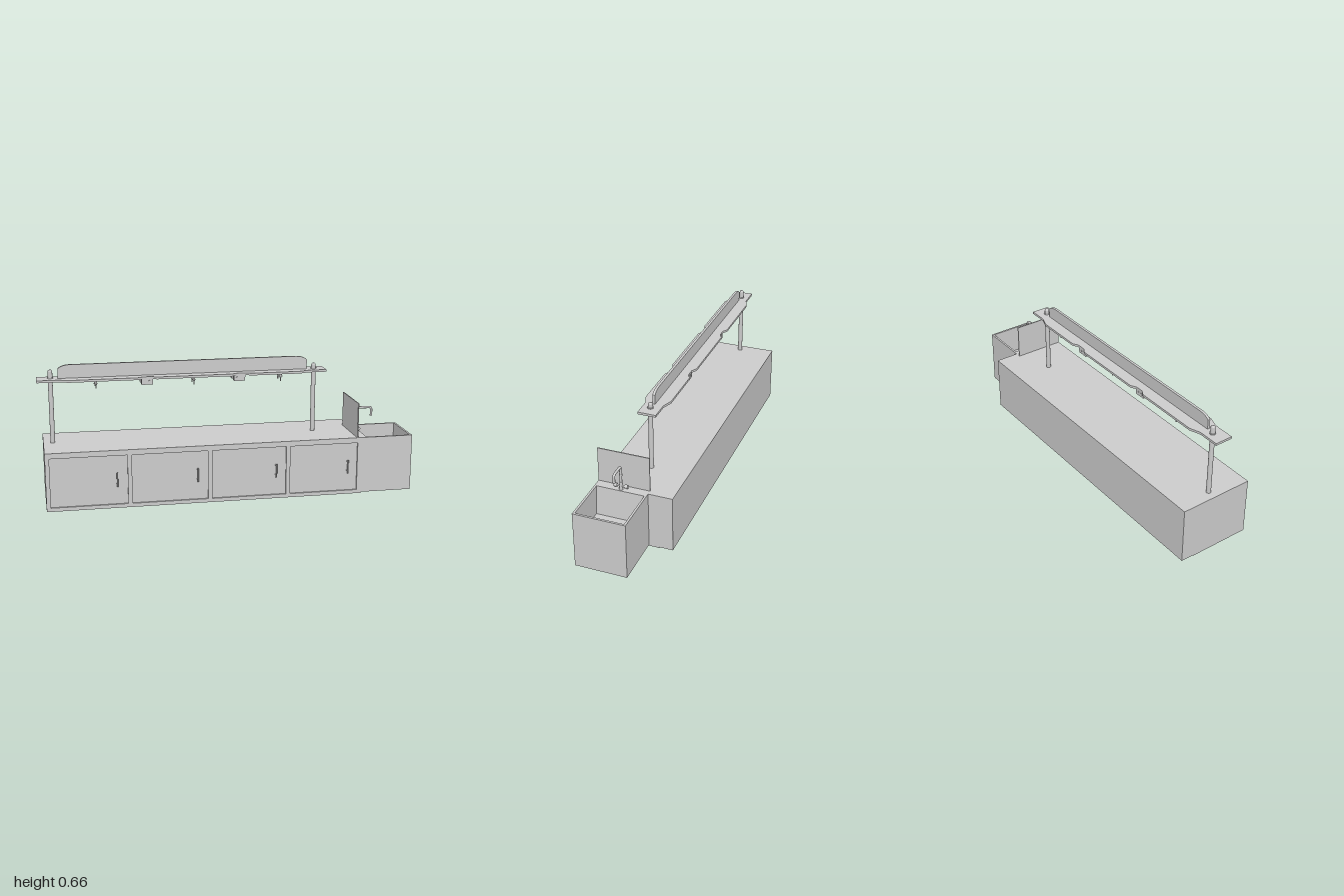
import * as THREE from 'three';

const grey = new THREE.MeshStandardMaterial({ color: 0xcccccc, side: THREE.DoubleSide });

function add(parent, name, geometry, x = 0, y = 0, z = 0) {
  const mesh = new THREE.Mesh(geometry, grey);
  mesh.name = name;
  mesh.position.set(x, y, z);
  parent.add(mesh);
  return mesh;
}

// Box given by its minimum and maximum corners
function box(parent, name, [x0, y0, z0], [x1, y1, z1]) {
  return add(parent, name, new THREE.BoxGeometry(x1 - x0, y1 - y0, z1 - z0),
    (x0 + x1) / 2, (y0 + y1) / 2, (z0 + z1) / 2);
}

function rod(parent, name, r, h, x, y, z, rTop = r) {
  return add(parent, name, new THREE.CylinderGeometry(rTop, r, h, 20), x, y + h / 2, z);
}

function polygon(points) {
  return new THREE.Shape(points.map(([x, y]) => new THREE.Vector2(x, y)));
}

function extrude(shape, depth) {
  return new THREE.ExtrudeGeometry(shape, { depth, bevelEnabled: false, curveSegments: 10 });
}

function makeCabinet() {
  const g = new THREE.Group();
  g.name = 'cabinet';
  box(g, 'cabinetBody', [-0.98, 0.004, -0.188], [0.54, 0.281, 0.167]);
  box(g, 'basePlate', [-0.98, 0, -0.122], [0.54, 0.004, 0.175]);

  // Front frame with four shallow door recesses
  const frame = polygon([[-0.98, 0.004], [0.54, 0.004], [0.54, 0.281], [-0.98, 0.281]]);
  for (const [a, b] of [[-0.96, -0.6], [-0.58, -0.22], [-0.2, 0.16], [0.18, 0.515]]) {
    frame.holes.push(polygon([[a, 0.018], [a, 0.255], [b, 0.255], [b, 0.018]]));
    // Door handle: upright bar on two standoffs
    const x = b - 0.05;
    const handle = new THREE.Group();
    handle.name = 'doorHandle';
    rod(handle, 'handleBar', 0.0035, 0.067, x, 0.108, 0.186);
    for (const y of [0.118, 0.165]) {
      const post = add(handle, 'handleStandoff', new THREE.CylinderGeometry(0.003, 0.003, 0.02, 12), x, y, 0.176);
      post.rotation.x = Math.PI / 2;
    }
    g.add(handle);
  }
  add(g, 'doorFrame', extrude(frame, 0.008), 0, 0, 0.167);
  box(g, 'splashPanel', [0.511, 0.281, -0.073], [0.516, 0.451, 0.175]);
  return g;
}

function makeSink() {
  const g = new THREE.Group();
  g.name = 'sink';
  // Basin cross-section with a slightly sloping left wall
  const section = polygon([[0.54, 0.005], [0.79, 0.005], [0.79, 0.281], [0.78, 0.281],
    [0.78, 0.14], [0.575, 0.14], [0.56, 0.281], [0.54, 0.281]]);
  add(g, 'basin', extrude(section, 0.228), 0, 0, -0.063);
  box(g, 'basinBackWall', [0.54, 0.005, -0.073], [0.79, 0.281, -0.063]);
  box(g, 'basinFrontWall', [0.54, 0.005, 0.165], [0.79, 0.281, 0.175]);
  rod(g, 'drain', 0.014, 0.003, 0.595, 0.14, -0.03);

  // Mixer tap with side knobs and a hooked spout
  const tap = new THREE.Group();
  tap.name = 'faucet';
  const x = 0.546, z = 0.052;
  rod(tap, 'tapBase', 0.009, 0.04, x, 0.281, z, 0.007);
  const bar = add(tap, 'valveBar', new THREE.CylinderGeometry(0.005, 0.005, 0.06, 16), x, 0.3, z);
  bar.rotation.x = Math.PI / 2;
  for (const s of [-1, 1]) {
    const knob = add(tap, 'valveKnob', new THREE.CylinderGeometry(0.009, 0.009, 0.014, 16), x, 0.3, z + s * 0.026);
    knob.rotation.x = Math.PI / 2;
  }
  const path = new THREE.CurvePath();
  const v = (a, b) => new THREE.Vector3(a, b, z);
  path.add(new THREE.LineCurve3(v(x, 0.31), v(x, 0.385)));
  path.add(new THREE.QuadraticBezierCurve3(v(x, 0.385), v(x, 0.4), v(x + 0.015, 0.4)));
  path.add(new THREE.LineCurve3(v(x + 0.015, 0.4), v(0.605, 0.4)));
  path.add(new THREE.QuadraticBezierCurve3(v(0.605, 0.4), v(0.618, 0.4), v(0.618, 0.387)));
  path.add(new THREE.LineCurve3(v(0.618, 0.387), v(0.618, 0.357)));
  add(tap, 'spout', new THREE.TubeGeometry(path, 60, 0.006, 12));
  rod(tap, 'spoutCollar', 0.0075, 0.008, x, 0.352, z);
  g.add(tap);
  return g;
}

function makeShelf() {
  const g = new THREE.Group();
  g.name = 'overheadShelf';
  const zc = -0.01, narrow = 0.043, wide = 0.061;

  // Board outline: half widths along x, mirrored about the centre line
  const half = [[-1, narrow], [-0.9, narrow], [-0.85, wide], [-0.53, wide], [-0.505, 0.046],
    [-0.465, 0.046], [-0.44, wide], [-0.08, wide], [-0.055, 0.046], [-0.01, 0.046],
    [0.015, wide], [0.25, wide], [0.3, narrow], [0.39, narrow]];
  const outline = polygon([...half, ...half.map(([x, w]) => [x, -w]).reverse()]);
  const board = add(g, 'shelfBoard', extrude(outline, 0.011), 0, 0.593, zc);
  board.rotation.x = Math.PI / 2;

  // Upright fin with rounded top corners
  const fin = new THREE.Shape();
  fin.moveTo(-0.9, 0.593);
  fin.lineTo(0.3, 0.593);
  fin.lineTo(0.3, 0.638);
  fin.bezierCurveTo(0.29, 0.65, 0.27, 0.657, 0.24, 0.657);
  fin.lineTo(-0.84, 0.657);
  fin.bezierCurveTo(-0.87, 0.657, -0.89, 0.65, -0.9, 0.638);
  add(g, 'fin', extrude(fin, 0.012), 0, 0, -0.014);

  // Posts with domed tops and collars
  for (const [x, z, top] of [[-0.935, -0.016, 0.633], [0.335, -0.006, 0.62]]) {
    const post = [[0, 0.28], [0.011, 0.28], [0.011, top - 0.009], [0.009, top - 0.003], [0.005, top], [0, top]]
      .map(([r, y]) => new THREE.Vector2(r, y));
    add(g, 'post', new THREE.LatheGeometry(post, 24), x, 0, z);
    rod(g, 'postCollar', 0.014, 0.004, x, 0.593, z);
  }

  // Fittings under both long edges
  for (const s of [-1, 1]) {
    for (const x of [-0.485, -0.04]) {
      const z = zc + s * 0.029;
      box(g, 'socketBox', [x - 0.027, 0.554, z - 0.014], [x + 0.027, 0.583, z + 0.014]);
      for (const dx of [-0.012, 0.012]) {
        const socket = add(g, 'socket', new THREE.CylinderGeometry(0.007, 0.007, 0.002, 16), x + dx, 0.568, z + s * 0.0145);
        socket.rotation.x = Math.PI / 2;
      }
    }
    for (const x of [-0.725, -0.26, 0.165]) {
      const z = zc + s * 0.028;
      rod(g, 'spigotBody', 0.004, 0.024, x, 0.559, z, 0.007);
      rod(g, 'spigotNozzle', 0.003, 0.016, x, 0.543, z);
      box(g, 'spigotLever', [x - 0.011, 0.564, z - 0.002], [x + 0.008, 0.569, z + 0.002]);
    }
  }
  return g;
}

export function createModel() {
  const model = new THREE.Group();
  model.name = 'labBench';
  model.add(makeCabinet(), makeSink(), makeShelf());
  return model;
}
